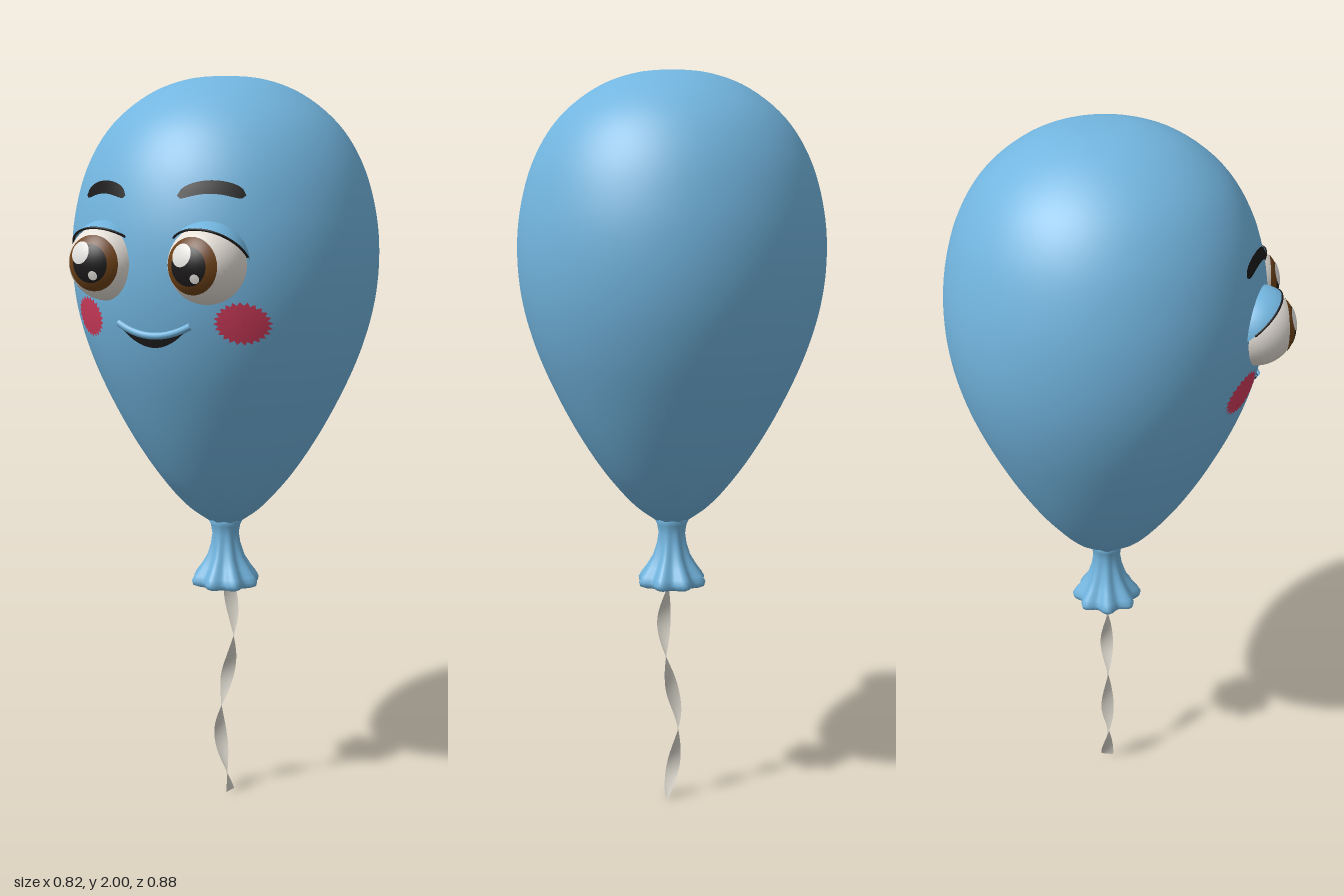
import * as THREE from 'three';
import { mergeVertices } from 'three/addons/utils/BufferGeometryUtils.js';

const mat = (name, color, side = THREE.FrontSide) => {
  const m = new THREE.MeshStandardMaterial({ color, side });
  m.name = name;
  return m;
};

const CZ = -0.03; // balloon axis in z

// Balloon outline, bottom to top
const outline = new THREE.CatmullRomCurve3([
  [0.04, 0.8], [0.1, 0.845], [0.17, 0.92], [0.245, 1.03], [0.315, 1.16], [0.366, 1.28],
  [0.399, 1.4], [0.411, 1.52], [0.402, 1.64], [0.365, 1.77], [0.3, 1.875],
  [0.2, 1.955], [0.1, 1.992], [0, 2],
].map(([r, y]) => new THREE.Vector3(r, y, 0))).getPoints(70).map(p => new THREE.Vector2(Math.max(p.x, 0), p.y));

function radiusAt(y) {
  const i = Math.max(1, outline.findIndex(p => p.y >= y));
  const a = outline[i - 1], b = outline[i];
  return a.x + (b.x - a.x) * (y - a.y) / (b.y - a.y);
}

// Point on the balloon front, lifted a little
const onSkin = (x, y, lift) => [x, y, CZ + Math.sqrt(radiusAt(y) ** 2 - x * x) + lift];

// Lathe whose radius is rippled by amp(y), with a smooth seam
function flutedLathe(points, segments, lobes, amp) {
  let g = new THREE.LatheGeometry(points, segments);
  const p = g.attributes.position;
  for (let i = 0; i < p.count; i++) {
    const k = 1 + amp(p.getY(i)) * Math.cos(lobes * Math.atan2(p.getX(i), p.getZ(i)));
    p.setXYZ(i, p.getX(i) * k, p.getY(i), p.getZ(i) * k);
  }
  g.deleteAttribute('uv');
  g.deleteAttribute('normal');
  g = mergeVertices(g, 1e-5);
  g.computeVertexNormals();
  return g;
}

// Grid surface from a function of u, v in 0..1
function grid(nu, nv, fn) {
  const pos = [], idx = [];
  for (let i = 0; i <= nu; i++) for (let j = 0; j <= nv; j++) pos.push(...fn(i / nu, j / nv));
  for (let i = 0; i < nu; i++) for (let j = 0; j < nv; j++) {
    const a = i * (nv + 1) + j, b = a + nv + 1;
    idx.push(a, b, a + 1, b, b + 1, a + 1);
  }
  const g = new THREE.BufferGeometry();
  g.setAttribute('position', new THREE.Float32BufferAttribute(pos, 3));
  g.setIndex(idx);
  g.computeVertexNormals();
  return g;
}

// Spherical cap facing +z
const cap = (r, angle) => new THREE.SphereGeometry(r, 40, 12, 0, Math.PI * 2, 0, angle).rotateX(Math.PI / 2);

export function createModel() {
  const model = new THREE.Group();
  model.name = 'balloon';
  const D = THREE.DoubleSide;
  const blue = mat('balloonBlue', 0x72b5df, D);
  const white = mat('eyeWhite', 0xe6e0d8);
  const brown = mat('irisBrown', 0x6e4218);
  const black = mat('black', 0x1c1a1a, D);
  const shine = mat('shineWhite', 0xf4f2ee);
  const pink = mat('cheekPink', 0xd23c5c, D);
  const ribbonMat = mat('ribbonGrey', 0xd2cec4, D);

  const add = (name, geo, material, parent = model) => {
    const m = new THREE.Mesh(geo, material);
    m.name = name;
    parent.add(m);
    return m;
  };

  // Body, faintly gathered near the neck
  add('body', flutedLathe(outline, 96, 8, y => 0.06 * Math.max(0, 1 - (y - 0.8) / 0.12)), blue).position.z = CZ;

  // Neck with a fluted, hollow lip
  const neckProfile = [
    [0.01, 0.70], [0.03, 0.66], [0.06, 0.625], [0.075, 0.617], [0.086, 0.622], [0.089, 0.634],
    [0.082, 0.648], [0.066, 0.672], [0.051, 0.70], [0.041, 0.735], [0.037, 0.765], [0.041, 0.79], [0.047, 0.803], [0.04, 0.815],
  ].map(([r, y]) => new THREE.Vector2(r, y));
  add('neck', flutedLathe(neckProfile, 96, 8, y => 0.1 * THREE.MathUtils.clamp((0.8 - y) / 0.14, 0, 1)), blue).position.z = CZ;

  // Twisted ribbon
  const path = new THREE.CatmullRomCurve3([
    [0.008, 0.7], [0.012, 0.62], [0.024, 0.52], [0.02, 0.42], [0, 0.32], [-0.018, 0.22], [-0.008, 0.11], [0.016, 0],
  ].map(([x, y]) => new THREE.Vector3(x, y, CZ)));
  add('ribbon', grid(80, 2, (u, v) => {
    const p = path.getPoint(u);
    const a = (0.436 - p.y) / 0.212 * Math.PI + Math.PI / 2;
    const w = (v - 0.5) * 0.037;
    return [p.x + w * Math.cos(a), p.y, p.z + w * Math.sin(a)];
  }), ribbonMat);

  for (const s of [-1, 1]) {
    const side = s > 0 ? 'left' : 'right';

    // Eye: ball, iris, pupil and two shines
    const eye = new THREE.Group();
    eye.name = side + 'Eye';
    eye.position.set(s * 0.143, 1.53, 0.337);
    model.add(eye);
    add('eyeball', new THREE.SphereGeometry(0.097, 40, 28), white, eye);
    add('iris', cap(0.0985, 0.78), brown, eye).rotation.y = -s * 0.05;
    add('pupil', cap(0.0995, 0.5), black, eye).rotation.y = -s * 0.05;
    add('largeShine', cap(0.1005, 0.29), shine, eye).rotation.set(-0.28, -0.22, 0);
    add('smallShine', cap(0.1005, 0.12), shine, eye).rotation.set(0.3, 0.16, 0);

    // Upper lid, tipped back, with a lash line on its edge
    const lid = new THREE.Group();
    lid.name = side + 'Eyelid';
    lid.rotation.x = -0.72;
    eye.add(lid);
    const r = 0.105, open = 1.32;
    add('lidShell', new THREE.SphereGeometry(r, 40, 16, 0, Math.PI * 2, 0, open), blue, lid);
    const lash = add('lashLine', new THREE.TorusGeometry(r * Math.sin(open) - 0.001, 0.003, 6, 48, Math.PI), black, lid);
    lash.position.y = r * Math.cos(open);
    lash.rotation.x = Math.PI / 2;

    // Arched eyebrow
    add(side + 'Eyebrow', grid(20, 4, (u, v) => {
      const t = u * 2 - 1;
      const w = 0.032 * Math.pow(Math.max(0, 1 - t ** 6), 0.5);
      return onSkin(s * 0.15 + t * 0.077, 1.715 - 0.02 * t * t + (v - 0.5) * w, 0.008);
    }), black).geometry.index.array.reverse();

    // Cheek with a ragged rim
    add(side + 'Cheek', grid(48, 4, (u, v) => {
      const k = Math.round(u * 48), a = u * Math.PI * 2;
      const q = v * (v === 1 && k % 2 ? 0.84 : 1);
      return onSkin(s * 0.22 + q * 0.061 * Math.cos(a), 1.387 + q * 0.054 * Math.sin(a), 0.004);
    }), pink).geometry.index.array.reverse();
  }

  // Smile: dark crescent under a soft lip ridge
  const smileTop = t => 1.346 + 0.028 * t * t;
  add('smile', grid(32, 3, (u, v) => {
    const t = u * 2 - 1;
    const y = smileTop(t) - 0.024 * (1 - t * t) * (1 - v);
    return onSkin(t * 0.098, y, 0.005);
  }), black);
  const lipPath = [];
  for (let i = 0; i <= 16; i++) {
    const t = i / 8 - 1;
    lipPath.push(new THREE.Vector3(...onSkin(t * 0.103, smileTop(t) + 0.006, 0)));
  }
  add('upperLip', new THREE.TubeGeometry(new THREE.CatmullRomCurve3(lipPath), 40, 0.009, 10), blue);

  // Eyebrow and cheek grids were flipped to face forward; refresh normals
  model.traverse(o => {
    if (/Eyebrow|Cheek|smile/.test(o.name) && o.isMesh) o.geometry.computeVertexNormals();
  });
  return model;
}
